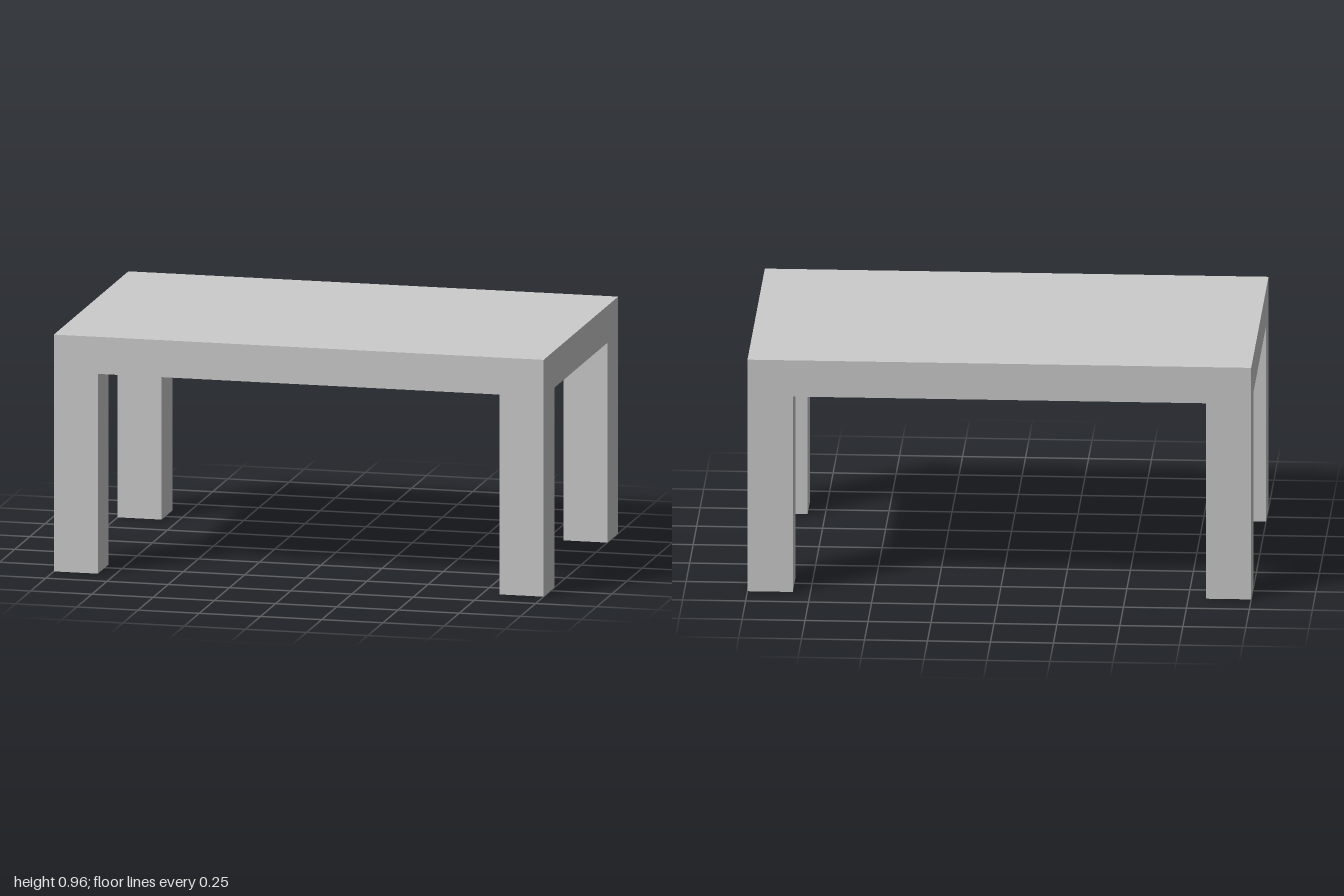
import * as THREE from 'three';

const WIDTH = 2, DEPTH = 1.235, HEIGHT = 0.96;
const TOP = 0.15, LEG = 0.18;

export function createModel() {
  const table = new THREE.Group();
  table.name = 'table';
  const material = new THREE.MeshStandardMaterial({ color: 0xcccccc, flatShading: true });

  const addBox = (name, w, h, d, x, y, z) => {
    const mesh = new THREE.Mesh(new THREE.BoxGeometry(w, h, d), material);
    mesh.name = name;
    mesh.position.set(x, y, z);
    table.add(mesh);
  };

  // Thick slab top
  addBox('tabletop', WIDTH, TOP, DEPTH, 0, HEIGHT - TOP / 2, 0);

  // Square legs, flush with the corners of the top
  const legHeight = HEIGHT - TOP;
  for (const [side, sx] of [['Left', 1], ['Right', -1]]) {
    for (const [end, sz] of [['front', 1], ['back', -1]]) {
      addBox(`${end}${side}Leg`, LEG, legHeight, LEG,
        sx * (WIDTH - LEG) / 2, legHeight / 2, sz * (DEPTH - LEG) / 2);
    }
  }

  return table;
}
